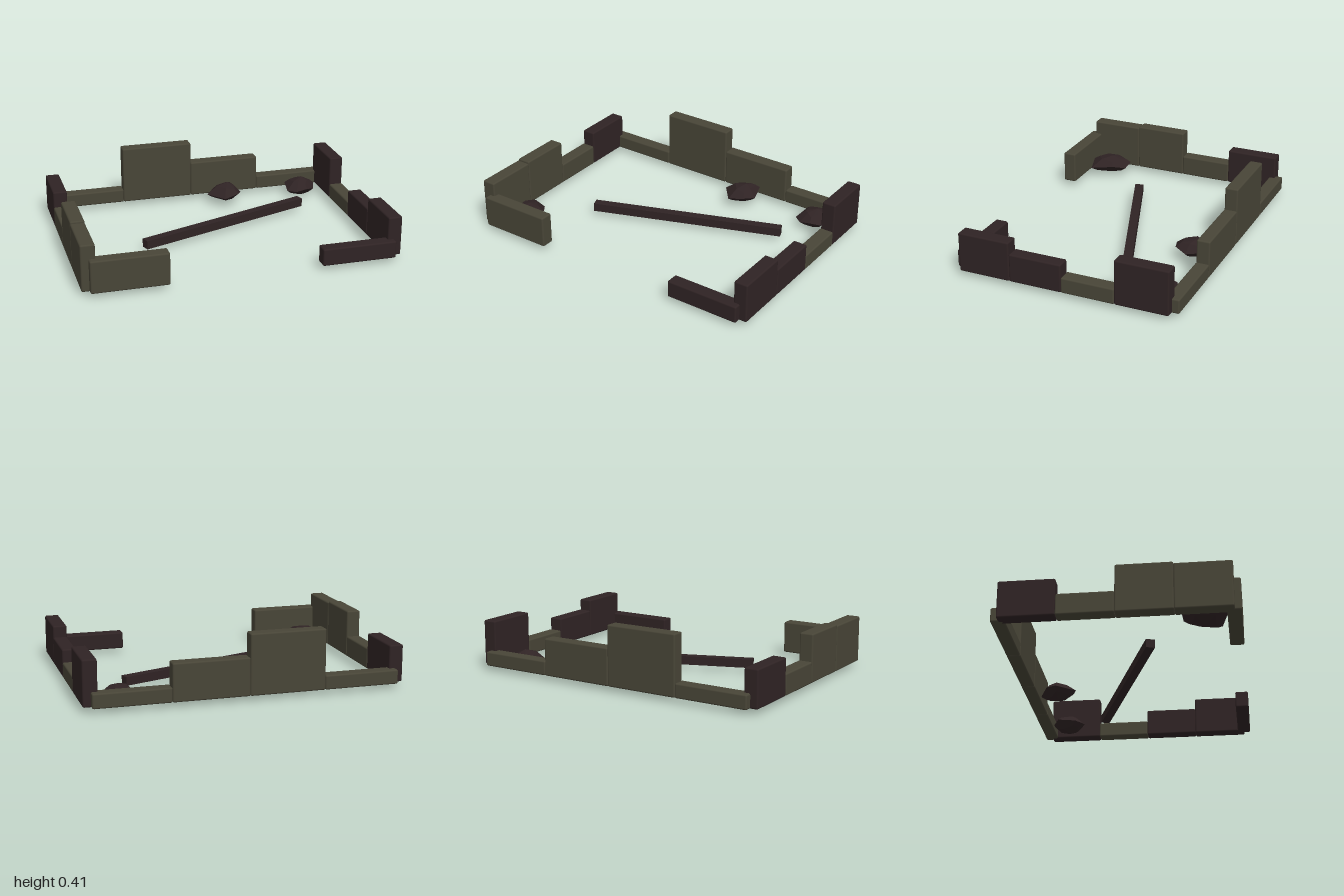
import * as THREE from 'three';
import { RoundedBoxGeometry } from 'three/addons/geometries/RoundedBoxGeometry.js';
import { ConvexGeometry } from 'three/addons/geometries/ConvexGeometry.js';

const BASE = 0.03; // underside of the walls

export function createModel() {
  const model = new THREE.Group();
  model.name = 'ruinedWalls';
  const stone = new THREE.MeshStandardMaterial({ color: 0x484537 });
  stone.name = 'mossyStone';
  const charred = new THREE.MeshStandardMaterial({ color: 0x2f2324 });
  charred.name = 'charredStone';

  // One wall block with slightly worn edges, given its plan size and top height
  function block(name, x, z, w, d, top, material) {
    const h = top - BASE;
    const mesh = new THREE.Mesh(new RoundedBoxGeometry(w, h, d, 2, 0.01), material);
    mesh.name = name;
    mesh.position.set(x, BASE + h / 2, z);
    model.add(mesh);
  }

  // Back wall, from the right hand corner to the left
  [0.12, 0.41, 0.267, 0.122].forEach((top, i) =>
    block('backWall' + (i + 1), -0.7125 + i * 0.475, -0.683, 0.475, 0.085, top, stone));

  // Side walls, from back to front
  const sides = [
    ['rightWall', -0.953, [0.265, 0.165, 0.335, 0.325], [charred, stone, stone, stone]],
    ['leftWall', 0.953, [0.315, 0.13, 0.21, 0.283], [charred, stone, charred, charred]],
  ];
  for (const [name, x, tops, materials] of sides) {
    tops.forEach((top, i) =>
      block(name + (i + 1), x, -0.511 + i * 0.34, 0.09, 0.34, top, materials[i]));
  }

  // Front wall stubs either side of the opening
  block('frontWallRight', -0.7125, 0.677, 0.475, 0.085, 0.235, stone);
  block('frontWallLeft', 0.7125, 0.677, 0.475, 0.085, 0.14, charred);

  // Fallen beam lying across the floor
  const beam = new THREE.Mesh(new THREE.BoxGeometry(1.245, 0.055, 0.055), charred);
  beam.name = 'fallenBeam';
  beam.position.set(0.08, BASE + 0.0275, -0.055);
  beam.rotation.y = THREE.MathUtils.degToRad(20);
  model.add(beam);

  // Faceted rubble: a plan outline, smaller rings above and below, and two peaks
  function rock(name, low, high, outline) {
    const mid = (low + high) / 2;
    const half = (high - low) / 2;
    const cx = outline.reduce((s, p) => s + p[0], 0) / outline.length;
    const cz = outline.reduce((s, p) => s + p[1], 0) / outline.length;
    const points = [
      new THREE.Vector3(cx + 0.01, high, cz - 0.01),
      new THREE.Vector3(cx - 0.01, low, cz + 0.01),
    ];
    outline.forEach(([x, z], i) => {
      points.push(new THREE.Vector3(x, mid + (i % 2 ? 0.15 : -0.15) * half, z));
      const side = i % 2 ? 1 : -1;
      for (const s of [side, -side]) {
        const k = s === side ? 0.72 : 0.5;
        points.push(new THREE.Vector3(cx + (x - cx) * k, mid + s * half * (k > 0.6 ? 0.55 : 0.72), cz + (z - cz) * k));
      }
    });
    const mesh = new THREE.Mesh(new ConvexGeometry(points), charred);
    mesh.name = name;
    model.add(mesh);
  }
  rock('rubbleBackMiddle', 0.02, 0.14, [
    [0.085, -0.52], [0.15, -0.59], [0.26, -0.645], [0.285, -0.63],
    [0.32, -0.51], [0.28, -0.43], [0.18, -0.4],
  ]);
  rock('rubbleBackCorner', 0, 0.125, [
    [0.652, -0.48], [0.67, -0.6], [0.72, -0.635], [0.81, -0.645], [0.835, -0.6],
    [0.865, -0.54], [0.84, -0.475], [0.78, -0.43], [0.705, -0.437],
  ]);
  rock('rubbleFrontCorner', 0.015, 0.14, [
    [-0.9, 0.43], [-0.835, 0.37], [-0.755, 0.377], [-0.7, 0.45],
    [-0.665, 0.6], [-0.797, 0.637], [-0.89, 0.597],
  ]);
  return model;
}
